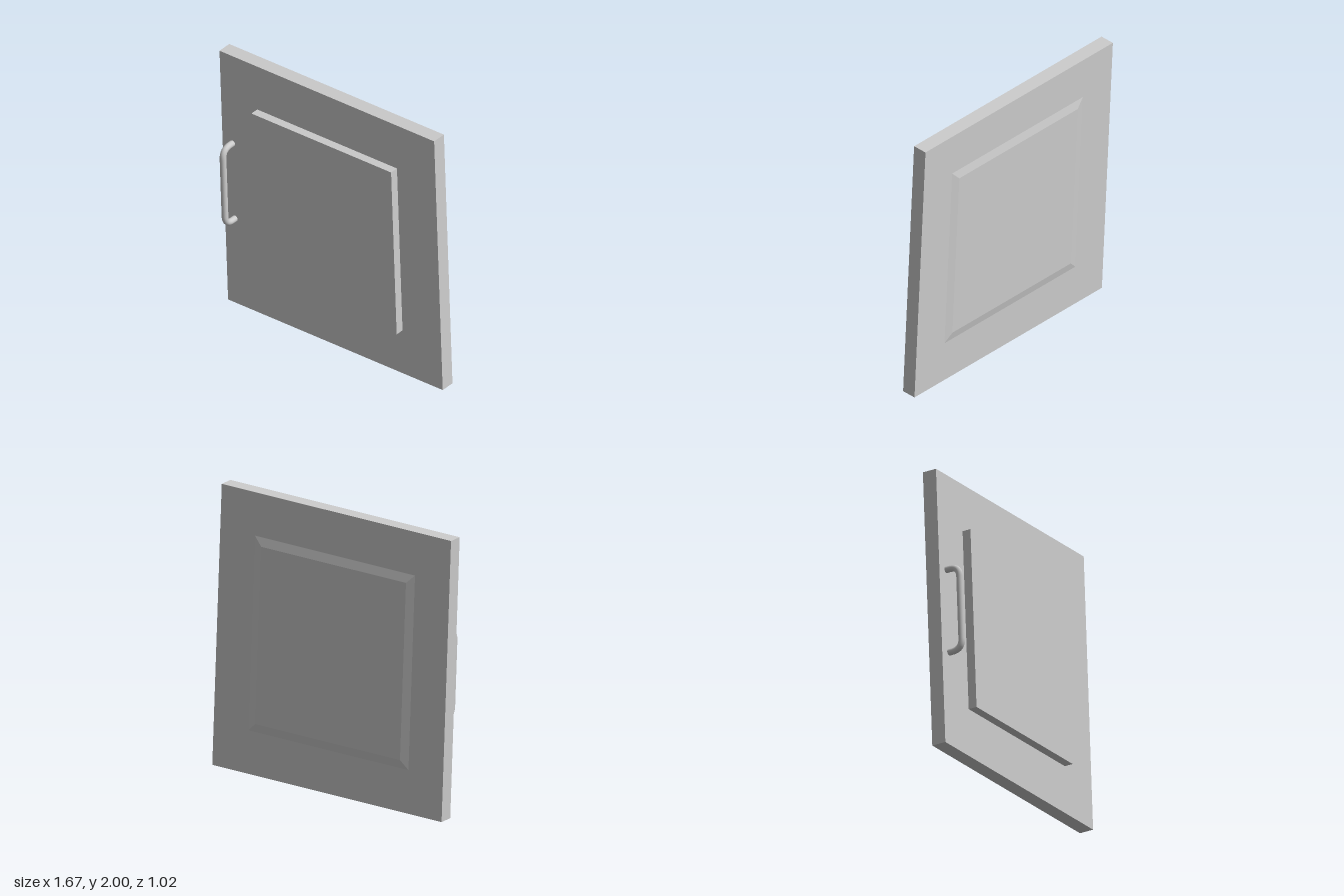
import * as THREE from 'three';

export function createModel() {
  const paint = new THREE.MeshStandardMaterial({ color: 0xcccccc });
  paint.name = 'light grey paint';

  const model = new THREE.Group();
  model.name = 'cabinetDoor';

  // Everything is built upright, then the whole door is swung and tilted
  const door = new THREE.Group();
  door.name = 'door';
  const across = new THREE.Vector3(0.871, 0.0447, 0.489).normalize();
  const up = new THREE.Vector3(-0.0365, 0.999, -0.031);
  const out = across.clone().cross(up).normalize();
  up.crossVectors(out, across);
  door.quaternion.setFromRotationMatrix(new THREE.Matrix4().makeBasis(across, up, out));
  door.position.y = 1;
  model.add(door);

  const add = (name, geometry, x = 0, y = 0, z = 0) => {
    const mesh = new THREE.Mesh(geometry, paint);
    mesh.name = name;
    mesh.position.set(x, y, z);
    door.add(mesh);
  };

  // Slab and raised front panel
  add('slab', new THREE.BoxGeometry(1.79, 1.92, 0.1));
  add('frontPanel', new THREE.BoxGeometry(1.165, 1.25, 0.07), -0.01, 0, 0.075);

  // Shallow bevelled field on the back
  const w = 0.565, h = 0.605;
  const field = new THREE.Shape([
    new THREE.Vector2(-w, -h), new THREE.Vector2(w, -h),
    new THREE.Vector2(w, h), new THREE.Vector2(-w, h),
  ]);
  add('backPanel', new THREE.ExtrudeGeometry(field, {
    depth: 0.001, bevelThickness: 0.012, bevelSize: 0.06, bevelSegments: 1,
  }), 0, 0, -0.05);

  // Bow handle: two posts and a bar joined by rounded bends
  const p = (y, z) => new THREE.Vector3(0, y, z);
  const base = 0.04, top = 0.15, half = 0.29, bend = 0.07;
  const path = new THREE.CurvePath();
  path.add(new THREE.LineCurve3(p(half, base), p(half, top - bend)));
  path.add(new THREE.QuadraticBezierCurve3(p(half, top - bend), p(half, top), p(half - bend, top)));
  path.add(new THREE.LineCurve3(p(half - bend, top), p(bend - half, top)));
  path.add(new THREE.QuadraticBezierCurve3(p(bend - half, top), p(-half, top), p(-half, top - bend)));
  path.add(new THREE.LineCurve3(p(-half, top - bend), p(-half, base)));
  add('handle', new THREE.TubeGeometry(path, 80, 0.022, 16), -0.812, -0.012, 0);

  return model;
}
